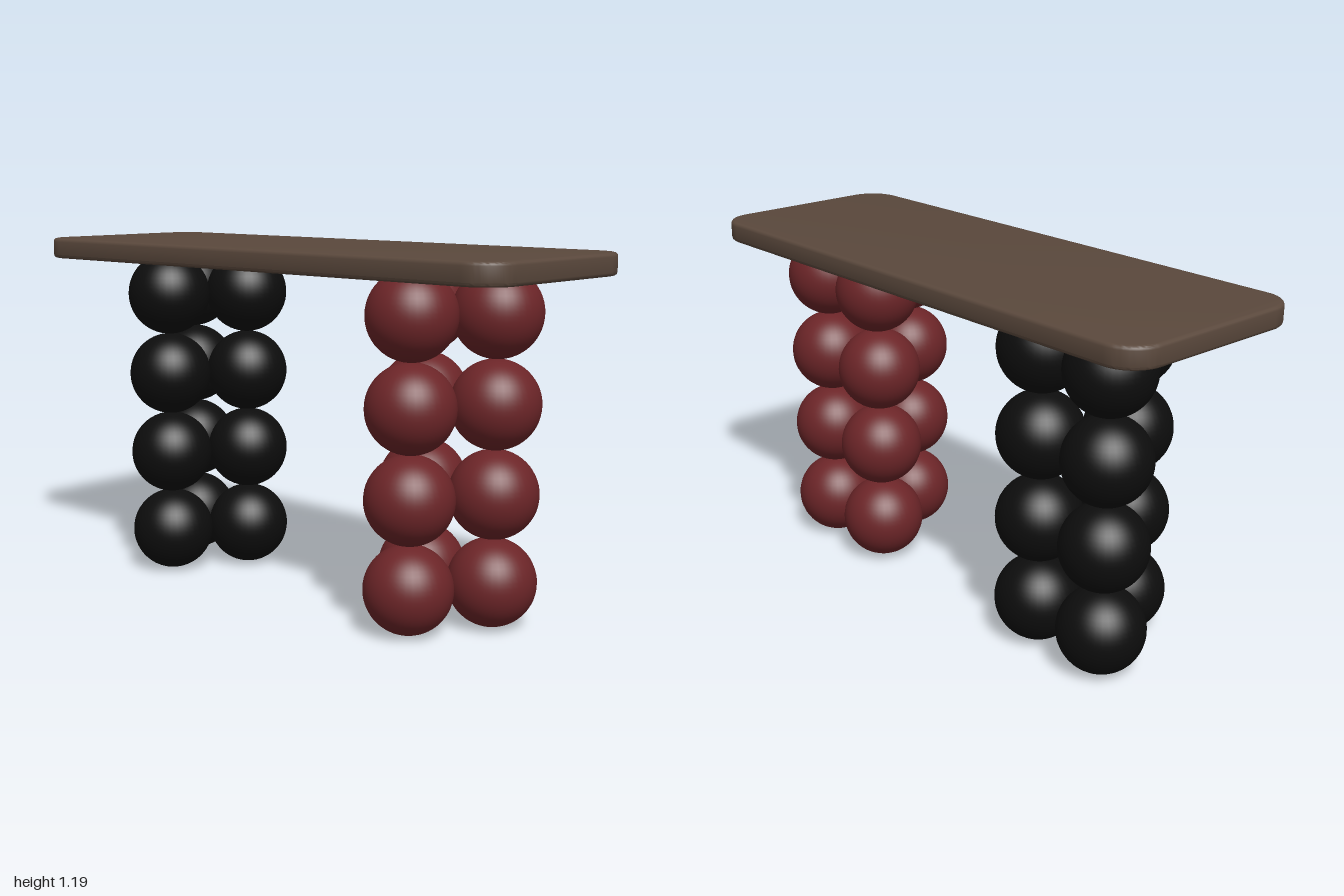
import * as THREE from 'three';
import { toCreasedNormals } from 'three/addons/utils/BufferGeometryUtils.js';

const material = (name, color) => {
  const m = new THREE.MeshStandardMaterial({ color });
  m.name = name;
  return m;
};

// Rounded rectangle centred on the origin
function roundedRect(w, h, r) {
  const x = w / 2, y = h / 2, s = new THREE.Shape();
  s.absarc(x - r, y - r, r, 0, Math.PI / 2);
  s.absarc(-x + r, y - r, r, Math.PI / 2, Math.PI);
  s.absarc(-x + r, -y + r, r, Math.PI, Math.PI * 1.5);
  s.absarc(x - r, -y + r, r, Math.PI * 1.5, Math.PI * 2);
  s.closePath();
  return s;
}

export function createModel() {
  const model = new THREE.Group();
  model.name = 'table';
  const brown = material('brown wood', 0x5a483c);
  const red = material('dark red', 0x6c2528);
  const black = material('black', 0x0d0d0d);

  // Table top: thin slab with rounded corners and softened edges
  const bottom = 1.117, thickness = 0.07, bevel = 0.012;
  const slab = new THREE.ExtrudeGeometry(roundedRect(2 - bevel * 2, 0.712 - bevel * 2, 0.1), {
    depth: thickness - bevel * 2, bevelThickness: bevel, bevelSize: bevel, bevelSegments: 3, curveSegments: 10,
  });
  slab.rotateX(-Math.PI / 2);
  const top = new THREE.Mesh(toCreasedNormals(slab, 0.6), brown);
  top.name = 'tableTop';
  top.position.y = bottom + bevel;
  model.add(top);

  // Legs: four layers of three touching balls, one in front and two behind
  const radius = 0.143, pitch = 0.2855;
  const ball = new THREE.SphereGeometry(radius, 40, 28);
  const layer = [[0, 0.14], [-0.141, -0.105], [0.141, -0.105]];
  for (const [name, x, mat] of [['leftLeg', 0.55, red], ['rightLeg', -0.55, black]]) {
    const leg = new THREE.Group();
    leg.name = name;
    leg.position.x = x;
    for (let i = 0; i < 4; i++) {
      for (const [bx, bz] of layer) {
        const mesh = new THREE.Mesh(ball, mat);
        mesh.name = 'legBall';
        mesh.position.set(bx, radius + i * pitch, bz);
        leg.add(mesh);
      }
    }
    model.add(leg);
  }
  return model;
}
